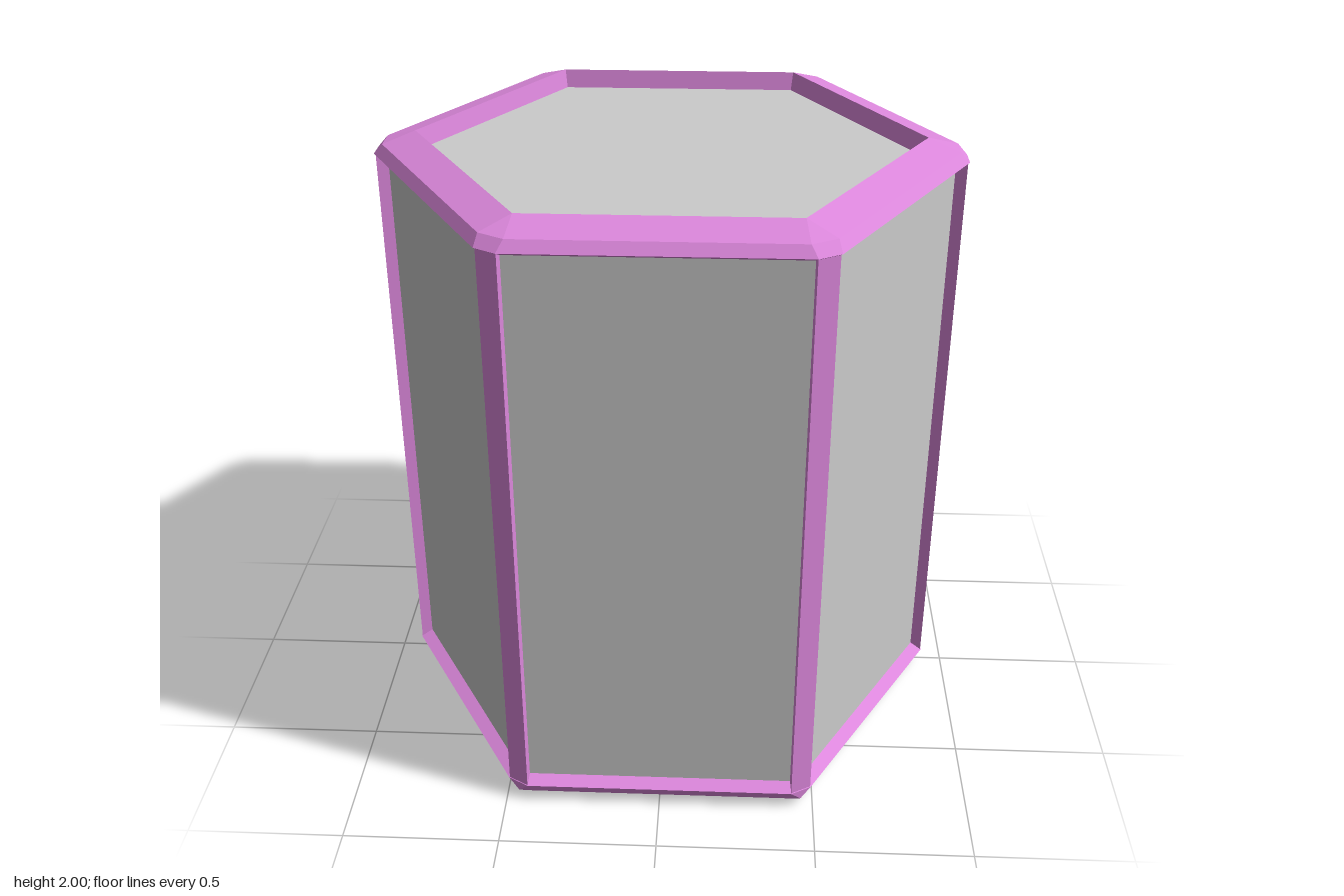
import * as THREE from 'three';

const grey = new THREE.MeshStandardMaterial({ color: 0xcccccc, flatShading: true });
const pink = new THREE.MeshStandardMaterial({ color: 0xdd88dd, flatShading: true });
const C30 = Math.cos(Math.PI / 6);

// Hexagon ring: a = distance to the sides, r = distance to the cut corners
function hexRing([a, y, r = a / C30]) {
  const t = Math.max(0, 2 * (a - C30 * r));
  const ring = [];
  for (let i = 0; i < 6; i++) {
    const c = Math.cos(i * Math.PI / 3), s = Math.sin(i * Math.PI / 3);
    for (const k of [-t, t]) ring.push([r * c - k * s, y, r * s + k * c]);
  }
  return ring;
}

// Closed loft through the rings of a rim profile
function rimGeometry(profile) {
  const rings = profile.map(hexRing), pos = [];
  rings.forEach((low, i) => {
    const high = rings[(i + 1) % rings.length];
    for (let j = 0; j < 12; j++) {
      const k = (j + 1) % 12;
      for (const p of [low[j], high[j], low[k], low[k], high[j], high[k]]) pos.push(...p);
    }
  });
  const geometry = new THREE.BufferGeometry();
  geometry.setAttribute('position', new THREE.Float32BufferAttribute(pos, 3));
  geometry.computeVertexNormals();
  return geometry;
}

export function createModel() {
  const model = new THREE.Group();
  const add = (name, geometry, material) => {
    const mesh = new THREE.Mesh(geometry, material);
    mesh.name = name;
    model.add(mesh);
    return mesh;
  };

  // Hexagonal core, showing as side, top and bottom panels
  const core = add('core', new THREE.CylinderGeometry(0.897, 0.897, 1.89, 6, 1, false, Math.PI / 2), grey);
  core.position.y = 0.995;

  // Domed top rim with cut corners
  add('topRim', rimGeometry([
    [0.77, 1.91], [0.82, 1.935, 0.925], [0.797, 1.968, 0.895],
    [0.69, 2], [0.677, 1.93],
  ]), pink);

  // Chamfered bottom rim
  add('bottomRim', rimGeometry([
    [0.725, 0.055], [0.735, 0], [0.767, 0], [0.797, 0.03, 0.92],
    [0.817, 0.065, 0.922], [0.77, 0.087],
  ]), pink);

  // Corner posts with a flat outer face
  const section = new THREE.Shape([[0.84, -0.015], [0.884, -0.02], [0.92, -0.036],
    [0.92, 0.036], [0.884, 0.02], [0.84, 0.015]].map(([x, y]) => new THREE.Vector2(x, y)));
  const post = new THREE.ExtrudeGeometry(section, { depth: 1.875, bevelEnabled: false });
  post.rotateX(-Math.PI / 2).translate(0, 0.06, 0);
  for (let i = 0; i < 6; i++) add('cornerPost', post, pink).rotation.y = i * Math.PI / 3;

  return model;
}
